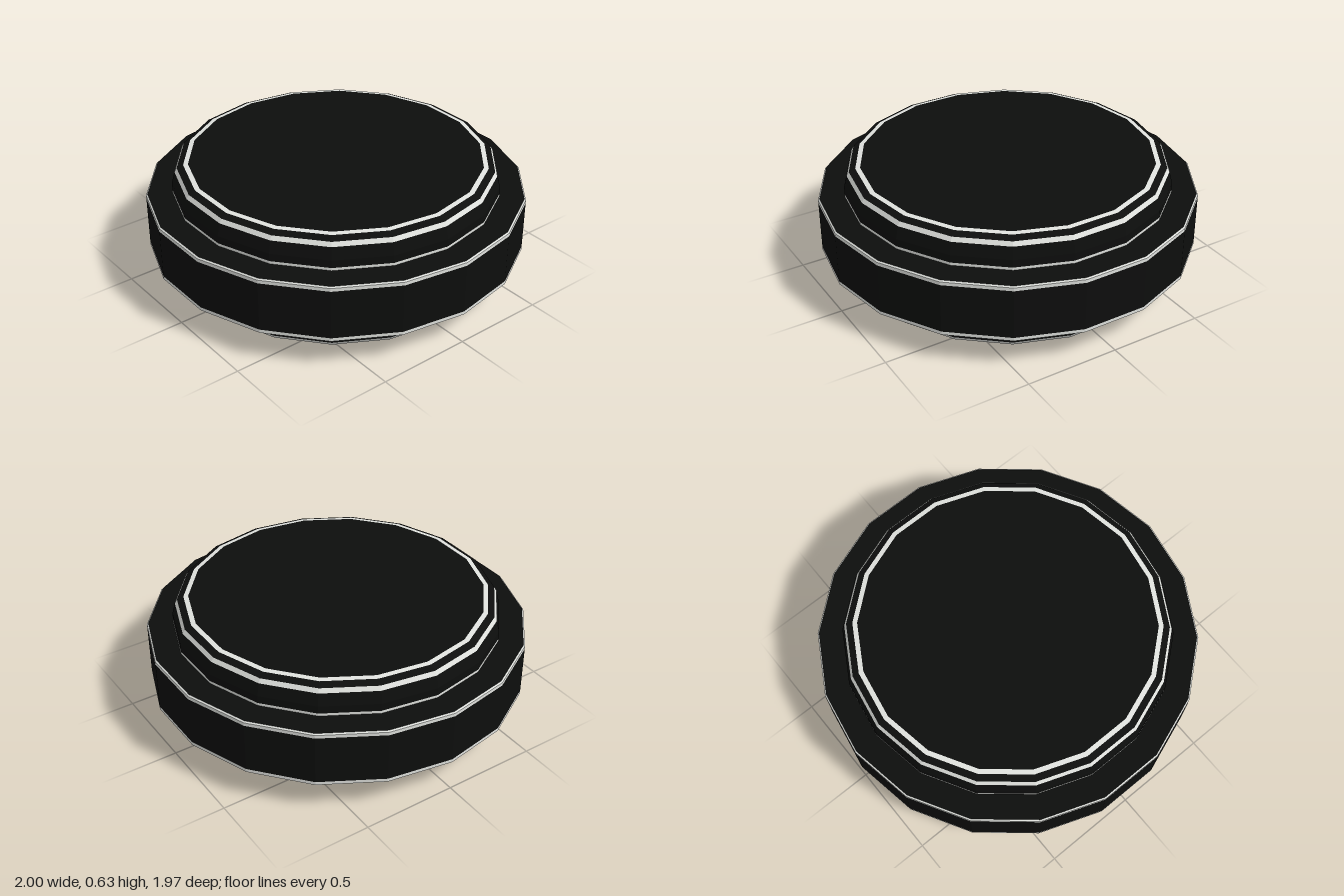
import * as THREE from 'three';

const SIDES = 18;
const MID = 0.317; // height of the mirror plane

// One flat-faced band of the turned body; points run in the direction that faces outward
function band(points, material, name) {
  const profile = points.map(([r, y]) => new THREE.Vector2(r, y));
  const geometry = new THREE.LatheGeometry(profile, SIDES, Math.PI / 2).toNonIndexed();
  geometry.computeVertexNormals();
  const mesh = new THREE.Mesh(geometry, material);
  mesh.name = name;
  return mesh;
}

export function createModel() {
  const black = new THREE.MeshStandardMaterial({ color: 0x0d0e0d });
  black.name = 'black';
  const white = new THREE.MeshStandardMaterial({ color: 0xe0e2de });
  white.name = 'white trim';

  const model = new THREE.Group();
  model.name = 'disc';

  // Bands of the upper half, as radius and height
  const bands = [
    ['rimTrim', white, [[1, 0.45], [1, 0.468], [0.992, 0.474]]],
    ['rimFace', black, [[0.992, 0.474], [0.862, 0.474]]],
    ['drumBaseTrim', white, [[0.862, 0.474], [0.862, 0.489]]],
    ['drumWall', black, [[0.862, 0.489], [0.862, 0.53], [0.845, 0.594]]],
    ['drumShoulderTrim', white, [[0.845, 0.594], [0.832, 0.615]]],
    ['drumChamfer', black, [[0.832, 0.615], [0.798, 0.631]]],
    ['capTrim', white, [[0.798, 0.631], [0.773, 0.634]]],
    ['capFace', black, [[0.773, 0.634], [0, 0.634]]],
  ];

  // Outer wall of the rim
  model.add(band([[1, 2 * MID - 0.45], [1, 0.45]], black, 'rimWall'));

  // Top half and its mirrored bottom half
  for (const [name, material, points] of bands) {
    model.add(band(points, material, name + 'Top'));
    const mirrored = points.map(([r, y]) => [r, 2 * MID - y]).reverse();
    model.add(band(mirrored, material, name + 'Bottom'));
  }
  return model;
}
